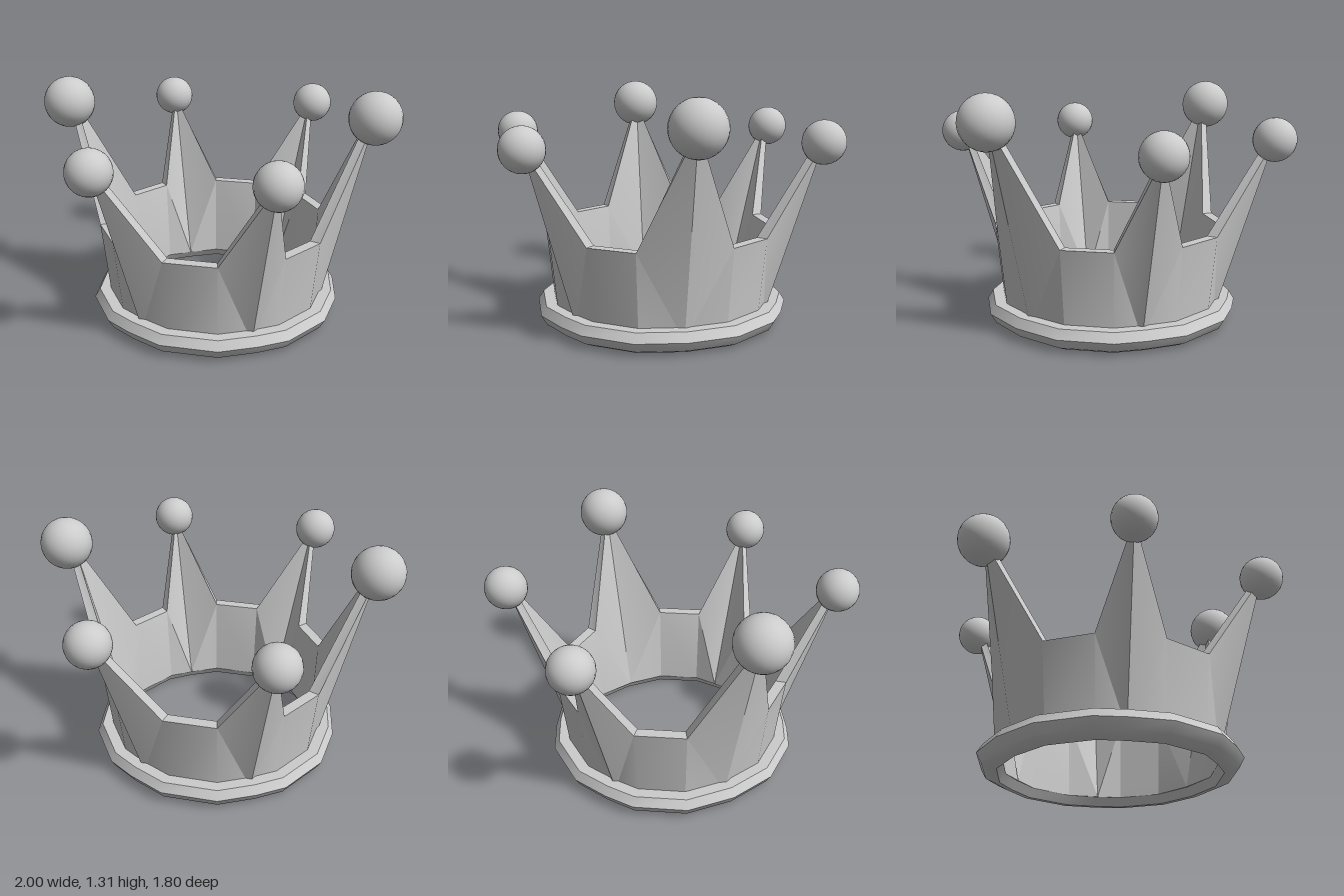
import * as THREE from 'three';
import { toCreasedNormals } from 'three/addons/utils/BufferGeometryUtils.js';

const material = new THREE.MeshStandardMaterial({ color: 0xcccccc });

const BIG = { r: 0.855, y: 1.163, ball: 0.143 };
const SMALL = { r: 0.903, y: 1.035, ball: 0.118 };

// Columns around the band: spike centres and the valley corners between them
const quarter = [[0, BIG], [22.2], [46], [60, SMALL], [77.5]];
const half = [...quarter, ...quarter.slice(1).reverse().map(([a, s]) => [180 - a, s])];
const columns = [...half, [180, BIG], ...half.slice(1).map(([a, s]) => [180 + a, s])]
  .map(([deg, spike]) => ({ angle: THREE.MathUtils.degToRad(deg), spike }));

// Closed loop of cross-sections; section(column) gives [radius, y] points, counter-clockwise
function ringGeometry(section, crease) {
  const rings = columns.map((c) => section(c).map(([r, y]) =>
    [r * Math.cos(c.angle), y, r * Math.sin(c.angle)]));
  const pos = [];
  rings.forEach((A, i) => {
    const B = rings[(i + 1) % rings.length];
    const n = A.length;
    for (let k = 0; k < n; k++) {
      const m = (k + 1) % n;
      // mirror the diagonal on both sides of each spike
      const flip = Boolean(columns[i].spike) !== (k === n - 1);
      const tris = flip
        ? [A[k], A[m], B[m], A[k], B[m], B[k]]
        : [A[k], A[m], B[k], A[m], B[m], B[k]];
      tris.forEach((p) => pos.push(...p));
    }
  });
  const g = new THREE.BufferGeometry();
  g.setAttribute('position', new THREE.Float32BufferAttribute(pos, 3));
  return toCreasedNormals(g, crease);
}

function addMesh(parent, name, geometry) {
  const mesh = new THREE.Mesh(geometry, material);
  mesh.name = name;
  parent.add(mesh);
  return mesh;
}

export function createModel() {
  const crown = new THREE.Group();
  crown.name = 'crown';

  // Flared band whose top edge rises into six spikes
  addMesh(crown, 'spikedBand', ringGeometry(({ spike }) => spike
    ? [[0.56, 0.05], [0.605, 0.05], [spike.r, spike.y], [spike.r - 0.04, spike.y]]
    : [[0.578, 0.05], [0.618, 0.05], [0.666, 0.53], [0.606, 0.53]], 0.45));

  // Rounded rim around the foot
  addMesh(crown, 'baseRim', ringGeometry(({ spike }) => {
    const s = spike ? 0.985 : 1.005;
    return [[0.575, 0.05], [0.605, 0], [0.635, 0], [0.685, 0.025], [0.715, 0.078],
      [0.685, 0.127], [0.59, 0.127]].map(([r, y]) => [r * s, y]);
  }, 0.65));

  // Ball on the tip of every spike
  columns.filter((c) => c.spike).forEach(({ angle, spike }) => {
    const ball = addMesh(crown, 'tipBall', new THREE.SphereGeometry(spike.ball, 24, 16));
    ball.position.set(spike.r * Math.cos(angle), spike.y, spike.r * Math.sin(angle));
  });

  return crown;
}
